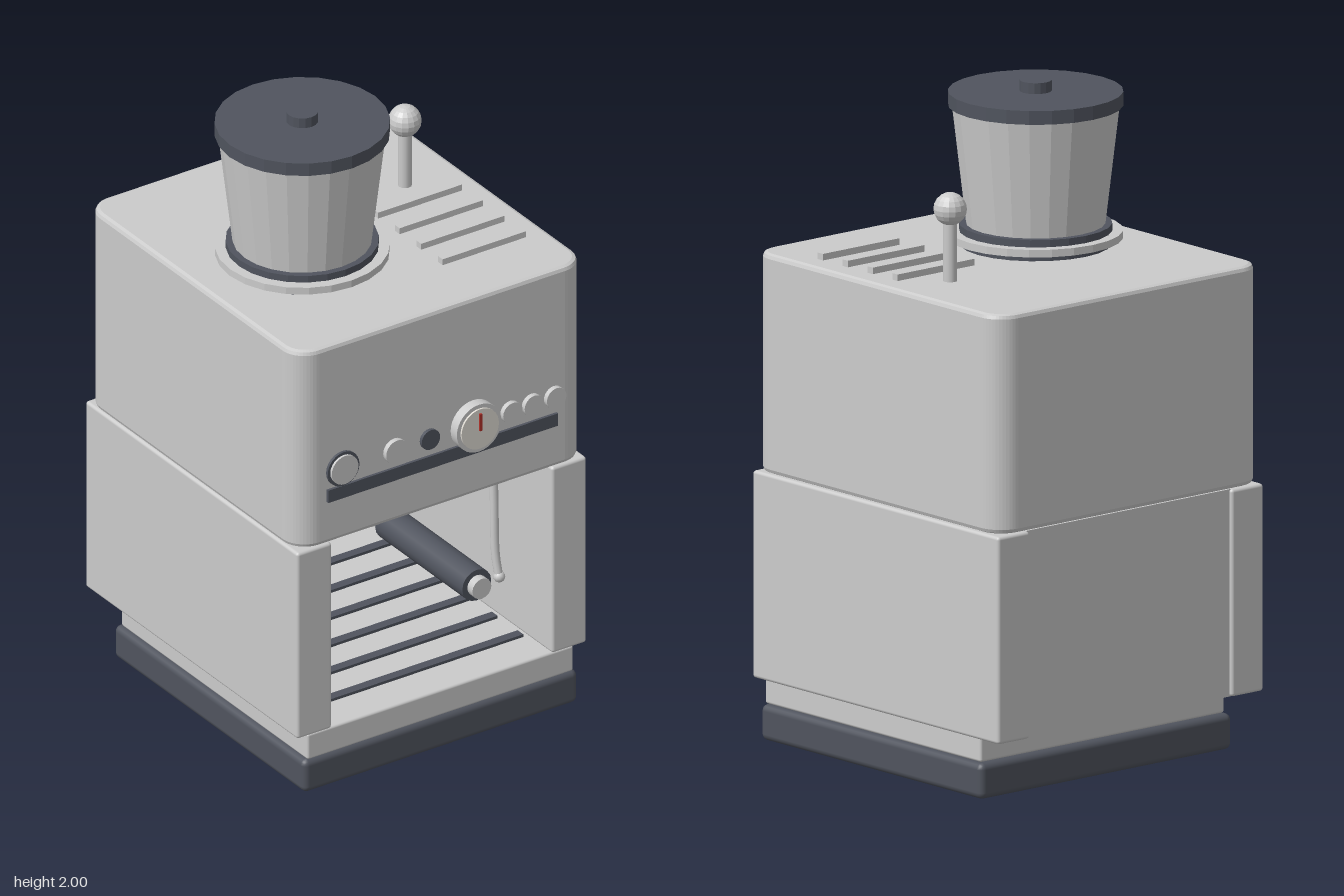
import * as THREE from 'three';
import { RoundedBoxGeometry } from 'three/addons/geometries/RoundedBoxGeometry.js';

const material = (color, extra = {}) => new THREE.MeshStandardMaterial({ color, ...extra });

export function createModel() {
  const model = new THREE.Group();
  const grey = material(0xcccccc);
  const greyFlat = material(0xcccccc, { flatShading: true });
  const dark = material(0x50545e);
  const darkFlat = material(0x50545e, { flatShading: true });
  const ivory = material(0xe0dcd4);
  const red = material(0xb03028);

  function add(name, geometry, mat, x = 0, y = 0, z = 0) {
    const mesh = new THREE.Mesh(geometry, mat);
    mesh.name = name;
    mesh.position.set(x, y, z);
    model.add(mesh);
    return mesh;
  }
  // box given by its limits; r rounds its edges
  function box(name, mat, [x0, x1], [y0, y1], [z0, z1], r = 0) {
    const size = [x1 - x0, y1 - y0, z1 - z0];
    const geometry = r ? new RoundedBoxGeometry(...size, 2, r) : new THREE.BoxGeometry(...size);
    return add(name, geometry, mat, (x0 + x1) / 2, (y0 + y1) / 2, (z0 + z1) / 2);
  }
  // upright cylinder between two heights
  const post = (name, mat, rTop, rBottom, y0, y1, x, z, sides = 24) =>
    add(name, new THREE.CylinderGeometry(rTop, rBottom, y1 - y0, sides), mat, x, (y0 + y1) / 2, z);
  // cylinder lying along z
  function rod(name, mat, r, x, y, z0, z1, sides = 24) {
    const g = new THREE.CylinderGeometry(r, r, z1 - z0, sides).rotateX(Math.PI / 2);
    return add(name, g, mat, x, y, (z0 + z1) / 2);
  }

  // base and drip tray
  box('base', dark, [-0.495, 0.49], [0, 0.11], [-0.58, 0.425], 0.02);
  box('dripTray', grey, [-0.48, 0.475], [0.11, 0.197], [-0.56, 0.42], 0.008);
  for (let i = 0; i < 6; i++) {
    const z = 0.28 - i * 0.135;
    box('trayBar', dark, [-0.38, 0.38], [0.19, 0.206], [z - 0.015, z + 0.015]);
  }

  // lower housing, open at the front
  for (const s of [-1, 1]) {
    const x = [s * 0.395, s * 0.52].sort((a, b) => a - b);
    box('sideWall', grey, x, [0.195, 0.828], [-0.692, 0.425], 0.01);
  }
  box('backPanel', grey, [-0.4, 0.4], [0.195, 0.828], [-0.68, -0.61]);

  // upper housing with rounded upright corners
  const bevel = 0.014, w = 0.52 - bevel, zf = 0.425 - bevel, zb = 0.692 - bevel, r = 0.065;
  const outline = new THREE.Shape();
  outline.absarc(w - r, zb - r, r, 0, Math.PI / 2);
  outline.absarc(-w + r, zb - r, r, Math.PI / 2, Math.PI);
  outline.absarc(-w + r, -zf + r, r, Math.PI, Math.PI * 1.5);
  outline.absarc(w - r, -zf + r, r, Math.PI * 1.5, Math.PI * 2);
  const upper = new THREE.ExtrudeGeometry(outline, {
    depth: 0.67 - 2 * bevel, bevelThickness: bevel, bevelSize: bevel, bevelSegments: 2, curveSegments: 6,
  }).rotateX(-Math.PI / 2);
  add('upperHousing', upper, grey, 0, 0.83 + bevel, 0);

  // bean hopper
  const hx = -0.17, hz = -0.062;
  post('hopperFoot', darkFlat, 0.225, 0.225, 1.495, 1.52, hx, hz);
  post('hopperCollar', greyFlat, 0.26, 0.26, 1.52, 1.543, hx, hz);
  post('hopperSeal', darkFlat, 0.228, 0.228, 1.543, 1.565, hx, hz);
  post('hopperBowl', greyFlat, 0.25, 0.207, 1.56, 1.926, hx, hz);
  post('hopperLid', darkFlat, 0.261, 0.261, 1.925, 1.967, hx, hz);
  post('lidKnob', darkFlat, 0.048, 0.048, 1.965, 2, hx, hz, 16);

  // top vents and lever
  for (let i = 0; i < 4; i++) {
    const z = -0.139 + i * 0.113;
    box('vent', grey, [0.147, 0.447], [1.495, 1.52], [z - 0.012, z + 0.012]);
  }
  post('leverStem', grey, 0.021, 0.021, 1.49, 1.69, 0.327, -0.25, 12);
  add('leverBall', new THREE.SphereGeometry(0.05, 16, 10), greyFlat, 0.327, 1.72, -0.25);

  // control panel: strip, buttons and gauge
  const py = 1.072, pz = 0.415;
  box('panelStrip', dark, [-0.415, 0.41], [0.973, 1.015], [pz, 0.434]);
  rod('powerBezel', dark, 0.057, -0.36, py, pz, 0.434);
  rod('powerButton', grey, 0.048, -0.36, py, pz, 0.442);
  rod('button', grey, 0.04, -0.172, py, pz, 0.441);
  rod('indicator', dark, 0.033, -0.048, py, pz, 0.436);
  for (const x of [0.243, 0.32, 0.4]) rod('smallButton', grey, 0.035, x, py, pz, 0.441);
  rod('gaugeBezel', grey, 0.08, 0.11, py, pz, 0.458, 32);
  rod('gaugeFace', ivory, 0.067, 0.11, py, pz, 0.464, 32);
  box('gaugeNeedle', red, [0.105, 0.113], [1.068, 1.125], [0.46, 0.47]);

  // brew head and filter holder
  const gx = -0.042, gz = 0.05;
  post('brewHeadPlate', dark, 0.134, 0.134, 0.81, 0.832, gx, gz);
  post('brewHead', grey, 0.115, 0.115, 0.72, 0.812, gx, gz);
  post('filterBasket', grey, 0.112, 0.108, 0.65, 0.722, gx, gz);
  rod('handleNeck', grey, 0.034, gx, 0.684, gz + 0.08, 0.23, 16);
  rod('handle', dark, 0.052, gx, 0.684, 0.21, 0.668, 16);
  rod('handleTip', grey, 0.034, gx, 0.684, 0.66, 0.695, 16);

  // steam wand hanging beside the wall
  post('steamValve', dark, 0.025, 0.025, 0.645, 0.835, 0.357, 0.12, 12);
  const path = new THREE.CatmullRomCurve3([
    [0.374, 0.835, 0.14], [0.374, 0.6, 0.15], [0.372, 0.42, 0.16], [0.376, 0.34, 0.175],
  ].map((p) => new THREE.Vector3(...p)));
  add('steamWand', new THREE.TubeGeometry(path, 16, 0.013, 10), grey);
  add('steamTip', new THREE.SphereGeometry(0.018, 12, 8), grey, 0.376, 0.348, 0.174);

  return model;
}
